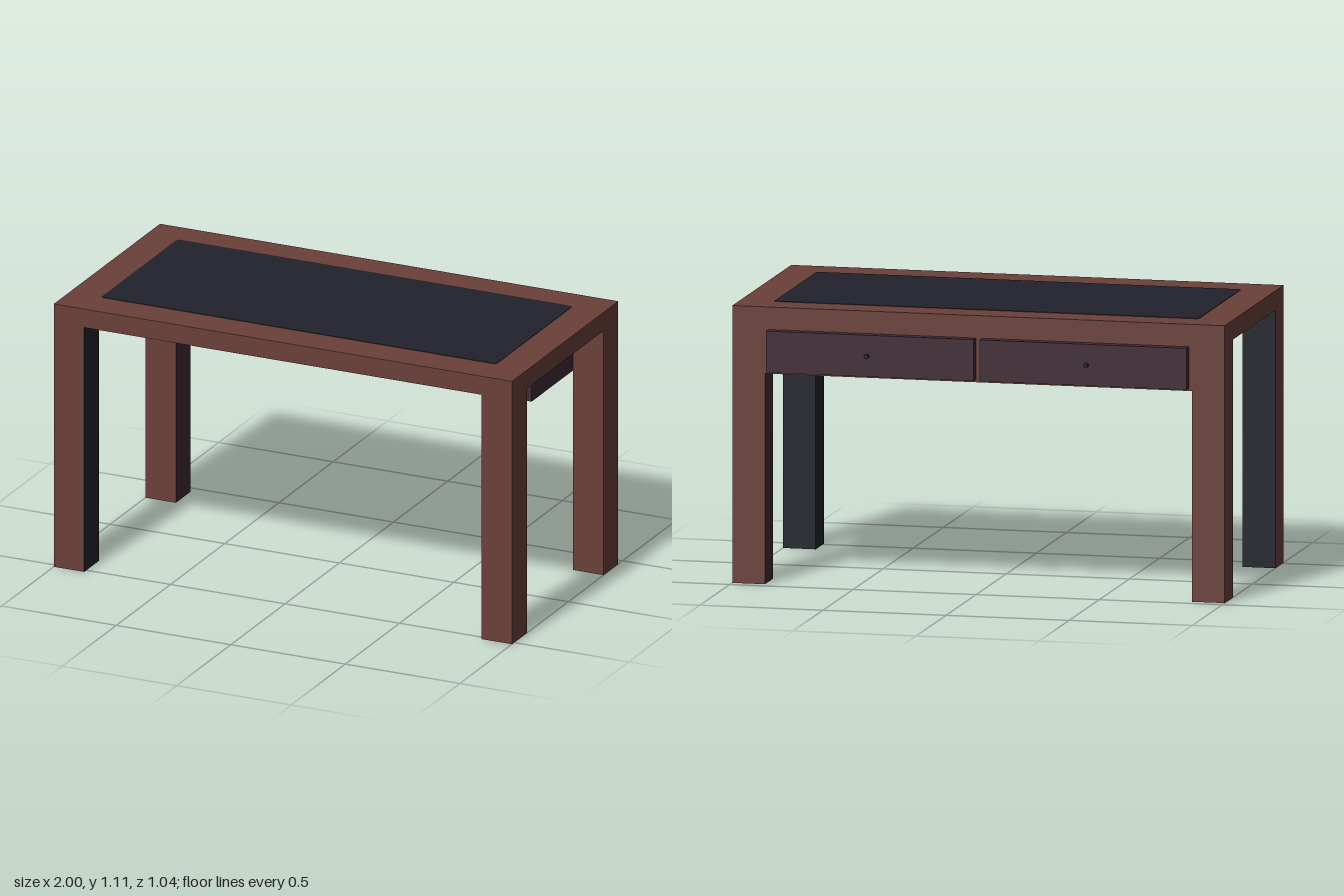
import * as THREE from 'three';

const material = (name, color) => {
  const m = new THREE.MeshStandardMaterial({ color });
  m.name = name;
  return m;
};

export function createModel() {
  const desk = new THREE.Group();
  desk.name = 'desk';
  const wood = material('reddish brown wood', 0x6b403a);
  const plum = material('dark plum wood', 0x402b35);
  const navy = material('dark navy lining', 0x22222c);

  // Box given by its limits on each axis
  const box = (name, [x0, x1], [y0, y1], [z0, z1], mat) => {
    const mesh = new THREE.Mesh(new THREE.BoxGeometry(x1 - x0, y1 - y0, z1 - z0), mat);
    mesh.position.set((x0 + x1) / 2, (y0 + y1) / 2, (z0 + z1) / 2);
    mesh.name = name;
    desk.add(mesh);
  };

  const front = 0.52, back = -0.46, under = 1.032, top = 1.11, inner = 0.867;

  // Table top with a dark underside
  box('tableTop', [-1, 1], [under, top], [back, front], [wood, wood, wood, navy, wood, wood]);

  // Thin writing surface with slightly rounded corners
  const x = 0.862, zFront = 0.375, zBack = -0.33, r = 0.012;
  const outline = new THREE.Shape();
  outline.absarc(x - r, -zBack - r, r, 0, Math.PI / 2);
  outline.absarc(-x + r, -zBack - r, r, Math.PI / 2, Math.PI);
  outline.absarc(-x + r, -zFront + r, r, Math.PI, Math.PI * 1.5);
  outline.absarc(x - r, -zFront + r, r, Math.PI * 1.5, Math.PI * 2);
  const inlay = new THREE.Mesh(
    new THREE.ExtrudeGeometry(outline, { depth: 0.003, bevelEnabled: false, curveSegments: 4 }), navy);
  inlay.rotation.x = -Math.PI / 2;
  inlay.position.y = top - 0.001;
  inlay.name = 'writingSurface';
  desk.add(inlay);

  // Legs: the front pair is lined navy inside, the back pair plum
  for (const side of [1, -1]) {
    const span = side > 0 ? [inner, 1] : [-1, -inner];
    const faces = (lining, rear) => side > 0
      ? [wood, lining, wood, wood, wood, rear]
      : [lining, wood, wood, wood, wood, rear];
    const label = side > 0 ? 'Left' : 'Right';
    box('front' + label + 'Leg', span, [0, under], [0.382, front], faces(navy, navy));
    box('back' + label + 'Leg', span, [0, under], [back, -0.325], faces(plum, wood));
  }

  // Drawer case and the thin frame behind the drawer fronts
  box('drawerCase', [-inner, inner], [0.843, under], [-0.45, 0.057], plum);
  box('drawerFrame', [-inner, inner], [0.843, under], [back, -0.45], wood);

  // Drawer fronts with round knobs
  for (const [x0, x1, knobX] of [[-0.855, -0.013, -0.448], [0.01, 0.853, 0.443]]) {
    box('drawerFront', [x0, x1], [0.854, 1.02], [-0.5, back], plum);
    const knob = new THREE.Mesh(new THREE.CylinderGeometry(0.009, 0.009, 0.022, 16), navy);
    knob.rotation.x = Math.PI / 2;
    knob.position.set(knobX, 0.937, -0.51);
    knob.name = 'drawerKnob';
    desk.add(knob);
  }

  return desk;
}
